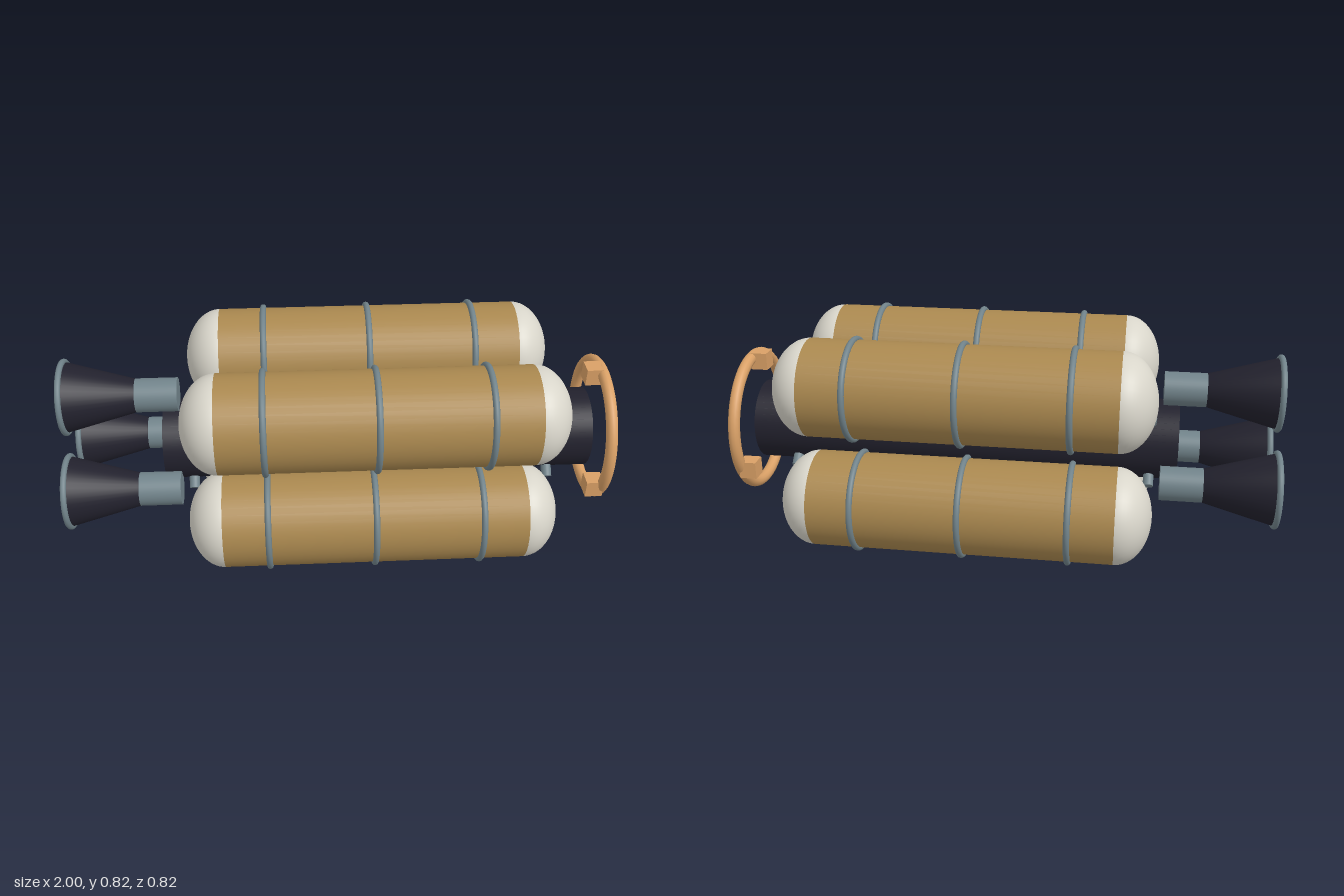
import * as THREE from 'three';

const mat = (name, color) => {
  const m = new THREE.MeshStandardMaterial({ color });
  m.name = name;
  return m;
};

export function createModel() {
  const gold = mat('gold foil', 0xaa884f);
  const white = mat('off white', 0xd8d5ca);
  const grey = mat('steel grey', 0x71838a);
  const dark = mat('dark hull', 0x22212d);
  const copper = mat('copper', 0xd9a066);
  const bellMat = mat('dark bell', 0x22212d);
  bellMat.side = THREE.DoubleSide;

  const model = new THREE.Group();
  const CY = 0.412; // height of the long axis

  const add = (parent, name, geometry, material, x = 0, y = 0, z = 0) => {
    const mesh = new THREE.Mesh(geometry, material);
    mesh.name = name;
    mesh.position.set(x, y, z);
    parent.add(mesh);
    return mesh;
  };
  const group = (name, y, z) => {
    const g = new THREE.Group();
    g.name = name;
    g.position.set(0, y, z);
    model.add(g);
    return g;
  };
  // cylinder and ring running along x
  const rod = (r, x0, x1, open = false) =>
    new THREE.CylinderGeometry(r, r, x1 - x0, 40, 1, open).rotateZ(-Math.PI / 2).translate((x0 + x1) / 2, 0, 0);
  const hoop = (r, tube) => new THREE.TorusGeometry(r, tube, 12, 56).rotateY(Math.PI / 2);

  // central hull
  add(model, 'coreHull', rod(0.148, -0.64, 0.94), dark, 0, CY, 0);

  // four banded tanks with domed ends, each held by a strut at both ends
  const R = 0.178, x0 = -0.43, x1 = 0.68, depth = 0.13;
  const dome = new THREE.SphereGeometry(R, 40, 16, 0, Math.PI * 2, 0, Math.PI / 2).scale(1, depth / R, 1);
  for (const sy of [1, -1]) for (const sz of [1, -1]) {
    const tank = group('tank', CY + sy * 0.22, sz * 0.22);
    add(tank, 'tankBody', rod(R, x0, x1, true), gold);
    add(tank, 'frontDome', dome, white, x1).rotation.z = -Math.PI / 2;
    add(tank, 'rearDome', dome, white, x0).rotation.z = Math.PI / 2;
    for (const x of [-0.265, 0.125, 0.515]) add(tank, 'tankBand', hoop(0.18, 0.0115), grey, x);

    const d = 0.115 * Math.SQRT1_2;
    for (const x of [-0.54, 0.79]) {
      const strut = add(model, 'strut', new THREE.CylinderGeometry(0.019, 0.019, 0.15, 20), grey, x, CY + sy * d, sz * d);
      strut.rotation.x = sy * sz * Math.PI / 4;
    }
  }

  // three engines at the rear and three lugs on the docking ring
  const bell = new THREE.LatheGeometry(
    [[0, 0.002], [0.062, 0.002], [0.13, 0.255]].map(([r, h]) => new THREE.Vector2(r, h)), 40).rotateZ(Math.PI / 2);
  for (const deg of [90, 210, 330]) {
    const a = THREE.MathUtils.degToRad(deg);
    const c = Math.cos(a), s = Math.sin(a);

    const engine = group('engine', CY + 0.2 * s, 0.2 * c);
    add(engine, 'enginePipe', rod(0.062, -0.733, -0.58), grey);
    add(engine, 'engineBell', bell, bellMat, -0.733);
    add(engine, 'bellRim', hoop(0.13, 0.011), grey, -0.988);

    add(model, 'ringLug', new THREE.BoxGeometry(0.064, 0.064, 0.064), copper, 0.946, CY + 0.24 * s, 0.24 * c);
  }
  add(model, 'dockingRing', hoop(0.252, 0.0215), copper, 0.977, CY, 0);

  return model;
}
